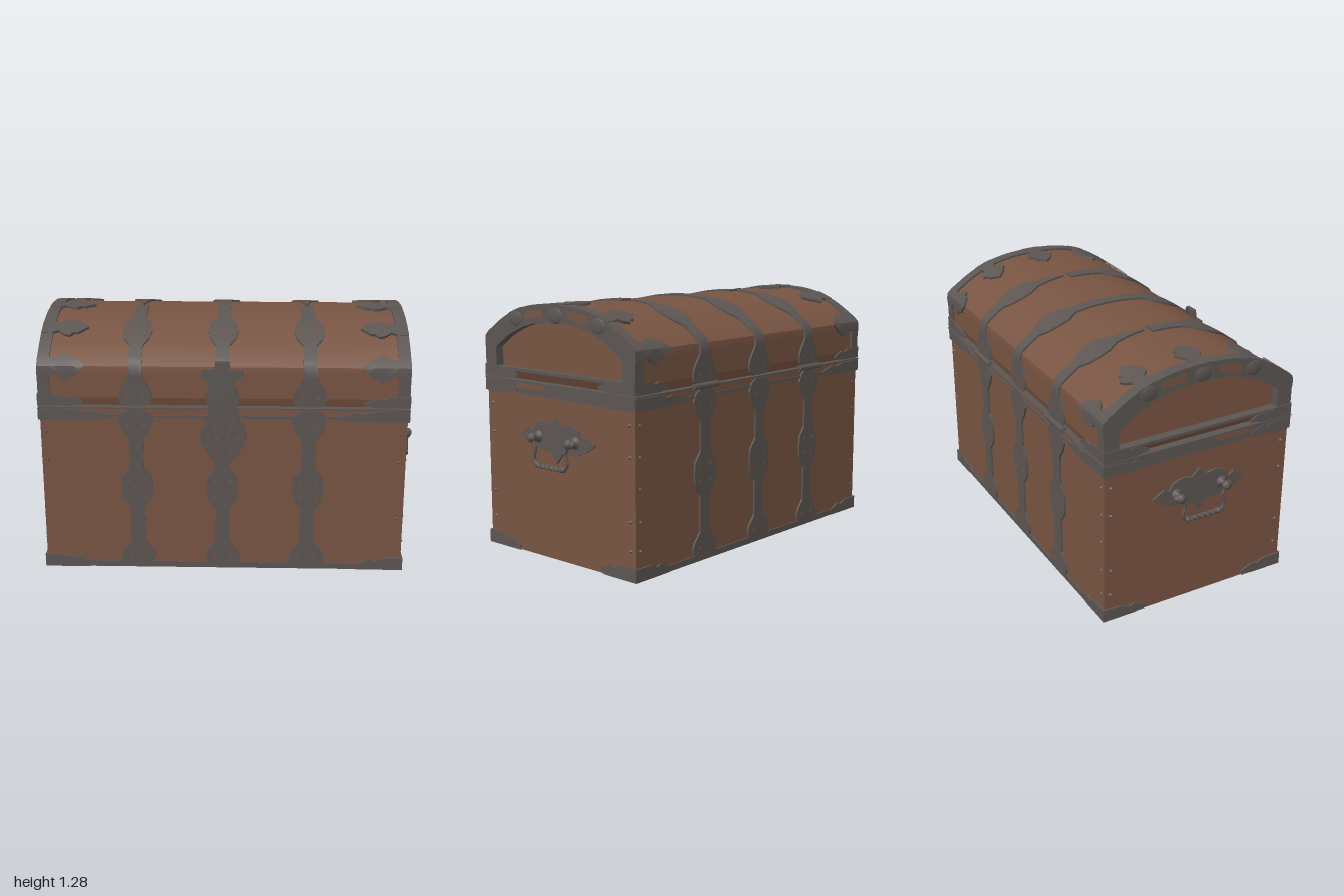
import * as THREE from 'three';
import { toCreasedNormals } from 'three/addons/utils/BufferGeometryUtils.js';

const wood = new THREE.MeshStandardMaterial({ color: 0x785442, side: THREE.DoubleSide });
wood.name = 'brown wood';
const metal = new THREE.MeshStandardMaterial({ color: 0x5c5653, side: THREE.DoubleSide });
metal.name = 'dark iron';

// Lid profile (z, y): straight walls under a shallow arch, front to back
const half = [];
for (let i = 0; i < 5; i++) half.push([0.515, 0.89 + i * 0.048]);
for (let i = 1; i <= 9; i++) {
  const z = 0.515 * Math.cos((i / 9) * Math.PI / 2);
  half.push([z, 1.09 + 0.178 * (1 - (z / 0.515) ** 2.5)]);
}
const profile = [...half, ...half.slice(0, -1).reverse().map(([z, y]) => [-z, y])];
const lidCurve = new THREE.SplineCurve(profile.map(p => new THREE.Vector2(...p)));
const L = lidCurve.getLength();

// Surface maps: (u, v, height above surface) -> point
const lidMap = back => (x, s, h) => {
  let t = THREE.MathUtils.clamp(s / L, 0, 1);
  if (back) t = 1 - t;
  const p = lidCurve.getPointAt(t), d = lidCurve.getTangentAt(t);
  return [x, p.y - d.x * h, p.x + d.y * h];
};
const wallMap = k => (x, y, h) => [x, y, k * (0.52 + h)];
const endMap = k => (z, y, h) => [k * (0.92 + h), y, z];
const swap = map => (u, v, h) => map(v, u, h);

// Thin plate on a mapped surface; rows are [v, uMin, uMax]
function plateGeometry(map, rows, h, across = 4) {
  const fine = [];
  rows.forEach((r, i) => {
    if (!i) return fine.push(r);
    const q = rows[i - 1], n = Math.ceil(Math.abs(r[0] - q[0]) / 0.04) || 1;
    for (let k = 1; k <= n; k++) fine.push(r.map((c, j) => q[j] + (c - q[j]) * k / n));
  });
  const pos = [], idx = [], w = across + 3;
  const line = ([v, a, b], top) => {
    pos.push(...map(a, v, 0));
    for (let i = 0; i <= across; i++) pos.push(...map(a + (b - a) * i / across, v, top));
    pos.push(...map(b, v, 0));
  };
  line(fine[0], 0);
  fine.forEach(r => line(r, h));
  line(fine[fine.length - 1], 0);
  for (let j = 0; j < fine.length + 1; j++) for (let i = 0; i < w - 1; i++) {
    const a = j * w + i, b = a + w;
    idx.push(a, a + 1, b, b, a + 1, b + 1);
  }
  const g = new THREE.BufferGeometry();
  g.setAttribute('position', new THREE.Float32BufferAttribute(pos, 3));
  g.setIndex(idx);
  return toCreasedNormals(g, 0.6);
}

const BODY_STRAP = [[0.008, 0.05], [0.03, 0.08], [0.07, 0.09], [0.1, 0.08], [0.15, 0.038], [0.34, 0.036],
  [0.39, 0.075], [0.45, 0.08], [0.51, 0.075], [0.56, 0.036], [0.71, 0.036], [0.76, 0.07], [0.81, 0.088], [0.85, 0.07], [0.875, 0.03]];
const LID_STRAP = [[0, 0.05], [0.02, 0.08], [0.06, 0.085], [0.1, 0.068], [0.15, 0.035], [0.33, 0.033],
  [0.38, 0.065], [0.44, 0.076], [0.5, 0.07], [0.56, 0.033]];
const LOCK = [[0.56, 0.01], [0.6, 0.05], [0.65, 0.085], [0.73, 0.12], [0.79, 0.1], [0.82, 0.075], [0.89, 0.075]];
const HASP = [[0.89, 0.07], [0.95, 0.075], [1.0, 0.06], [1.03, 0.075], [1.05, 0.105], [1.085, 0.1], [1.075, 0.04], [1.125, 0.035]];
const LEAF = [[0.925, 0.05], [0.87, 0.05], [0.84, 0.032], [0.81, 0.06], [0.78, 0.07], [0.755, 0.045], [0.74, 0.05], [0.69, 0.002]];
const HANDLE_PLATE = [[-0.26, 0.615, 0.625], [-0.2, 0.58, 0.66], [-0.17, 0.57, 0.64], [-0.15, 0.56, 0.68], [-0.1, 0.555, 0.7],
  [-0.04, 0.55, 0.69], [0, 0.5, 0.73], [0.04, 0.55, 0.69], [0.1, 0.555, 0.7], [0.15, 0.56, 0.68], [0.17, 0.57, 0.64], [0.2, 0.58, 0.66], [0.26, 0.615, 0.625]];

export function createModel() {
  const root = new THREE.Group();
  const add = (name, geo, mat, x = 0, y = 0, z = 0, parent = root) => {
    const m = new THREE.Mesh(geo, mat);
    m.name = name;
    m.position.set(x, y, z);
    parent.add(m);
    return m;
  };
  const plate = (name, map, rows, h = 0.01, mat = metal) => add(name, plateGeometry(map, rows, h), mat);
  const centred = (stops, c) => stops.map(([v, w]) => [v, c - w, c + w]);
  const pierce = (map, u, v, h = 0.0115, r = 0.013) =>
    plate('piercing', map, [[v - r, u, u], [v, u - r * 0.7, u + r * 0.7], [v + r, u, u]], h, wood);

  // Wooden body, rim and lid
  add('body', new THREE.BoxGeometry(1.84, 0.872, 1.04), wood, 0, 0.44, 0);
  add('rim', new THREE.BoxGeometry(1.855, 0.008, 1.07), metal, 0, 0.882, 0);
  const ledge = new THREE.CylinderGeometry(Math.SQRT1_2, Math.SQRT1_2 * 0.97, 0.05, 4).rotateY(Math.PI / 4).scale(1.83, 1, 1.03).toNonIndexed();
  ledge.computeVertexNormals();
  add('lidLedge', ledge, wood, 0, 0.912, 0);

  const outline = (h, y0) => {
    const pts = [];
    for (let i = 0; i <= 60; i++) {
      const [, y, z] = lidMap(false)(0, L * i / 60, h);
      pts.push(new THREE.Vector2(z, Math.max(y, y0)));
    }
    return pts;
  };
  const extrudeX = (shape, depth) => toCreasedNormals(
    new THREE.ExtrudeGeometry(shape, { depth, bevelEnabled: false }).translate(0, 0, -depth / 2).rotateY(-Math.PI / 2), 0.5);
  add('lid', extrudeX(new THREE.Shape(outline(0, 0.93)), 1.76), wood);

  // Arched iron frames around the recessed lid ends
  const frame = new THREE.Shape(outline(0.011, 0.93));
  const hole = [new THREE.Vector2(0.445, 0.945)];
  for (let i = 0; i <= 16; i++) {
    const z = 0.445 * Math.cos(i / 16 * Math.PI);
    hole.push(new THREE.Vector2(z, 1.04 + 0.15 * (1 - Math.abs(z / 0.445) ** 2.4)));
  }
  hole.push(new THREE.Vector2(-0.445, 0.945));
  frame.holes.push(new THREE.Path(hole));
  const frameGeo = extrudeX(frame, 0.06);

  // Vertical straps with medallions, running over the lid
  for (const k of [1, -1]) for (const x of [-0.44, -0.005, 0.43]) {
    const wall = wallMap(k), lid = lidMap(k < 0), middle = x === -0.005;
    plate('bodyStrap', wall, centred(BODY_STRAP, x));
    const tail = k > 0 || middle ? [[L / 2, 0.033]] : [[L / 2 - 0.03, 0.002]];
    plate('lidStrap', lid, centred([...LID_STRAP, ...tail], x));
    for (const s of [-1, 1]) {
      for (const y of [0.07, 0.41, 0.49, 0.79]) pierce(wall, x + s * 0.04, y);
      for (const v of [0.05, 0.41, 0.48]) pierce(lid, x + s * 0.04, v);
    }
    if (k < 0 && !middle)
      add('hinge', new THREE.CylinderGeometry(0.015, 0.015, 0.19, 10).rotateZ(Math.PI / 2), metal, x, 0.885, -0.53);
  }

  // Lock plate and hasp
  plate('lockPlate', wallMap(1), centred(LOCK, 0), 0.018);
  plate('hasp', wallMap(1), centred(HASP, -0.005), 0.022);
  for (const s of [-1, 1]) for (const [u, y] of [[0.035, 0.65], [0.075, 0.73], [0.03, 0.73], [0.04, 0.79]])
    pierce(wallMap(1), s * u, y, 0.0195);

  // Base and rim bands, front and back
  for (const k of [1, -1]) {
    plate('baseBand', wallMap(k), [[0.004, -0.92, 0.92], [0.036, -0.92, 0.92]], 0.007);
    plate('rimBand', wallMap(k), [[0.828, -0.92, 0.92], [0.842, -0.92, 0.92]], 0.006);
    plate('sideRimBand', endMap(k), [[0.82, -0.52, 0.52], [0.878, -0.52, 0.52]], 0.006);
    plate('sideRimGap', endMap(k), [[0.85, 0.1, 0.3], [0.874, 0.08, 0.28]], 0.0075, wood);
  }

  // Corner plates: tapered arms on both faces of each corner
  const arm = (map, sign, edge, len, y0, y1) => {
    const at = (d, lo, hi) => [sign * (edge - d * len), y0 + (y1 - y0) * lo, y0 + (y1 - y0) * hi];
    plate('cornerPlate', swap(map), [at(0, 0, 1), at(0.45, 0, 0.95), at(0.6, 0, 0.7), at(0.72, 0, 0.85), at(1, 0.2, 0.4)], 0.01);
  };
  for (const sx of [1, -1]) for (const sz of [1, -1]) {
    for (const [y0, y1, lx] of [[0.003, 0.07, 0.24], [0.815, 0.876, 0.36], [0.89, 0.95, 0.23]]) {
      arm(wallMap(sz), sx, 0.928, lx, y0, y1);
      arm(endMap(sx), sz, 0.528, 0.24, y0, y1);
    }
    const foot = new THREE.Shape([[0.925, 0.525], [0.925, 0.29], [0.84, 0.36], [0.77, 0.43], [0.69, 0.525]].map(([x, z]) => new THREE.Vector2(sx * x, sz * z)));
    add('bottomCorner', new THREE.ShapeGeometry(foot).rotateX(Math.PI / 2), metal, 0, 0.001, 0);
    // Rivets beside the corners
    for (const y of [0.15, 0.29, 0.45, 0.6, 0.75]) {
      add('rivet', new THREE.OctahedronGeometry(0.009), metal, sx * 0.89, y, sz * 0.52);
      if (y !== 0.45) add('rivet', new THREE.OctahedronGeometry(0.011), metal, sx * 0.92, y, sz * 0.485);
    }
  }

  // Lid ends, leaves and side handles
  for (const k of [1, -1]) {
    add('lidEndFrame', frameGeo, metal, k * 0.895, 0, 0);
    for (const s of [0.2, 0.46, L / 2, L - 0.46, L - 0.2])
      plate('lidLeaf', swap(lidMap(false)), LEAF.map(([x, w]) => [k * x, s - w, s + w]), 0.014);
    for (const [z, y] of [[-0.29, 1.195], [0, 1.225], [0.29, 1.195]])
      add('leafFold', new THREE.SphereGeometry(0.05, 12, 8).scale(0.2, 0.8, 1), metal, k * 0.922, y, z);
    for (const s of [-1, 1])
      plate('frameGap', swap(endMap(k)), [[s * 0.09, 1.215, 1.25], [s * 0.22, 1.195, 1.235]], 0.0065, wood);

    plate('handlePlate', swap(endMap(k)), HANDLE_PLATE, 0.012);
    const handle = new THREE.Group();
    handle.name = 'handle';
    root.add(handle);
    for (const s of [-1, 1]) {
      pierce(endMap(k), s * 0.21, 0.62, 0.0135);
      add('handleKnob', new THREE.LatheGeometry([[0.032, 0], [0.03, 0.012], [0.014, 0.02], [0.014, 0.035], [0.025, 0.045], [0.024, 0.06], [0.01, 0.07], [0.001, 0.072]]
        .map(p => new THREE.Vector2(...p)), 12).rotateZ(-k * Math.PI / 2), metal, k * 0.925, 0.62, s * 0.13, handle);
      add('handlePin', new THREE.SphereGeometry(0.017, 10, 8), metal, k * 0.968, 0.62, s * 0.15, handle);
      const leg = new THREE.CatmullRomCurve3([[0.62, 0.13], [0.57, 0.108], [0.52, 0.118], [0.495, 0.105], [0.487, 0.085]]
        .map(([y, z]) => new THREE.Vector3(k * 0.975, y, s * z)));
      add('handleLeg', new THREE.TubeGeometry(leg, 16, 0.009, 8), metal, 0, 0, 0, handle);
      add('handleCollar', new THREE.SphereGeometry(0.016, 10, 8), metal, k * 0.975, 0.49, s * 0.09, handle);
    }
    const bar = new THREE.BoxGeometry(0.02, 0.02, 0.18, 1, 1, 30), p = bar.attributes.position;
    for (let i = 0; i < p.count; i++) {
      const a = p.getZ(i) * 50, x = p.getX(i), y = p.getY(i);
      p.setXY(i, x * Math.cos(a) - y * Math.sin(a), x * Math.sin(a) + y * Math.cos(a));
    }
    bar.computeVertexNormals();
    add('twistedBar', bar, metal, k * 0.975, 0.487, 0, handle);
  }
  return root;
}
